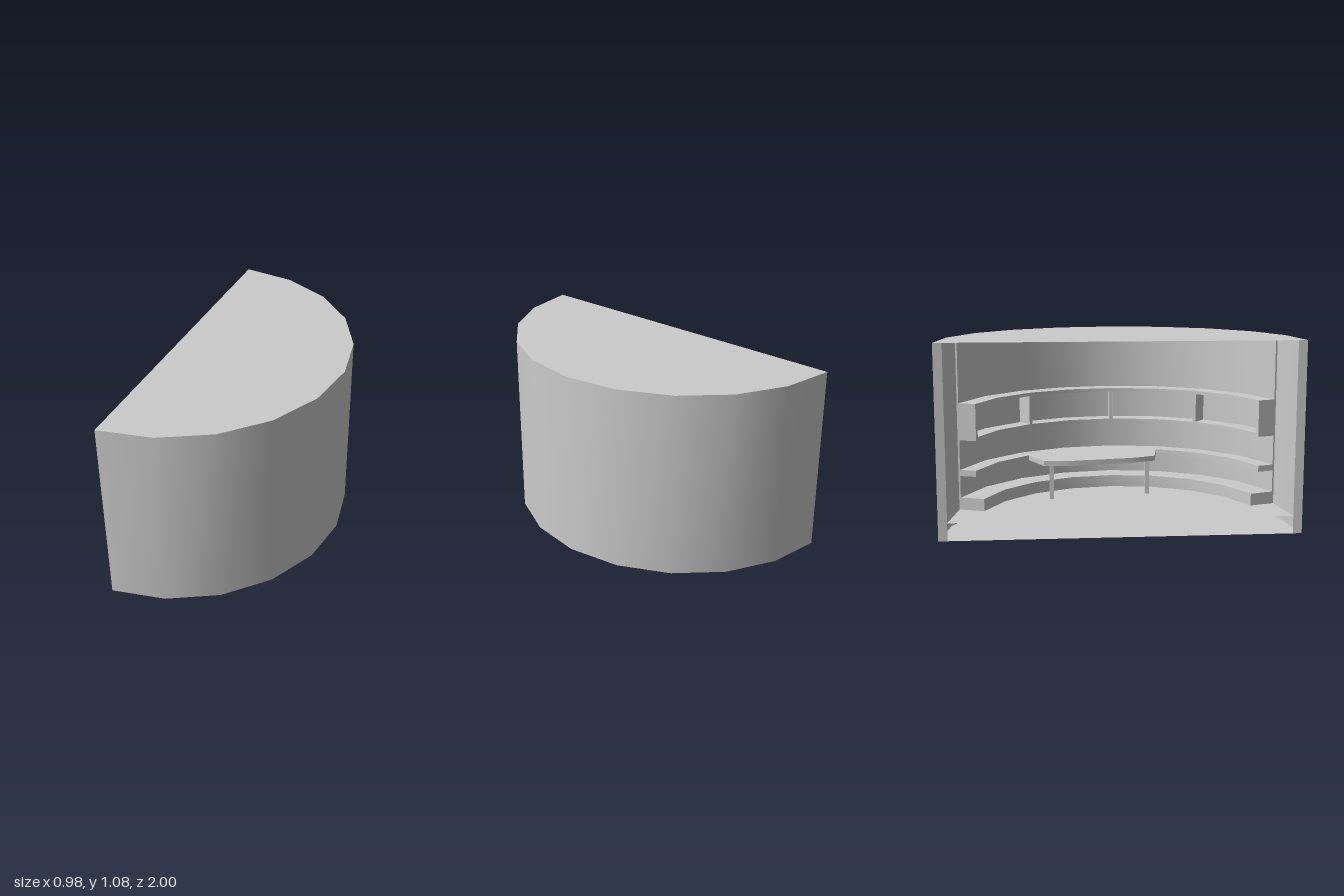
import * as THREE from 'three';
import { toCreasedNormals } from 'three/addons/utils/BufferGeometryUtils.js';

const STEP = 18, CX = -0.487, H = 1.075, FLOOR = 0.1;
const material = new THREE.MeshStandardMaterial({ color: 0xcccccc, side: THREE.DoubleSide });

// Point on the ten-sided half ring: angle in degrees from +x towards +z
function polar(deg, r) {
  const k = Math.floor(deg / STEP), t = deg / STEP - k;
  const corner = (i) => {
    const a = THREE.MathUtils.degToRad(i * STEP);
    return new THREE.Vector2(CX + (r - 0.023) * Math.cos(a), -r * Math.sin(a));
  };
  return corner(k).lerp(corner(k + 1), t);
}

// Row of points along the ring, with a corner at every step
function arc(a0, a1, r) {
  const pts = [polar(a0, r)];
  for (let a = Math.ceil((a0 + 0.01) / STEP) * STEP; a < a1; a += STEP) pts.push(polar(a, r));
  pts.push(polar(a1, r));
  return pts;
}

function createPart(name, geometry) {
  const mesh = new THREE.Mesh(geometry, material);
  mesh.name = name;
  return mesh;
}

// Upright slab from a plan outline
function slab(name, pts, y0, y1) {
  const g = new THREE.ExtrudeGeometry(new THREE.Shape(pts), { depth: y1 - y0, bevelEnabled: false });
  g.rotateX(-Math.PI / 2).translate(0, y0, 0);
  return createPart(name, toCreasedNormals(g, 0.5));
}

function ring(name, a0, a1, r0, r1, y0, y1) {
  return slab(name, [...arc(a0, a1, r1), ...arc(a0, a1, r0).reverse()], y0, y1);
}

// Thin half-round sheet
function sheet(name, r, y) {
  const g = new THREE.ShapeGeometry(new THREE.Shape(arc(-90, 90, r)));
  return createPart(name, g.rotateX(-Math.PI / 2).translate(0, y, 0));
}

// Upright skin along a row of plan points, left to right as seen from its front
function skin(name, pts, y0, y1) {
  const g = new THREE.PlaneGeometry(1, 1, pts.length - 1, 1);
  pts.forEach((p, i) => {
    g.attributes.position.setXYZ(i, p.x, y1, -p.y);
    g.attributes.position.setXYZ(i + pts.length, p.x, y0, -p.y);
  });
  g.computeVertexNormals();
  return createPart(name, g);
}

export function createModel() {
  const model = new THREE.Group();

  // Shell, open on the flat side; the inner wall starts at the raised floor
  model.add(skin('outerWall', arc(-90, 90, 1).reverse(), 0, H));
  model.add(skin('innerWall', arc(-90, 90, 0.95), FLOOR, H));
  model.add(skin('wallEnd', [polar(90, 0.95), polar(90, 1)], 0, H));
  model.add(skin('wallEnd', [polar(-90, 1), polar(-90, 0.95)], 0, H));
  model.add(sheet('roof', 1, H), sheet('base', 1, 0), sheet('floor', 0.95, FLOOR));

  // Lining and ledges following the wall
  model.add(ring('wallLining', -72, 72, 0.94, 0.95, FLOOR, H));
  model.add(ring('lowerLedge', -72, 72, 0.8, 0.95, FLOOR, 0.17));
  model.add(ring('middleShelf', -72, 72, 0.845, 0.95, 0.295, 0.33));

  // Open-fronted wall cabinet
  const cabinet = new THREE.Group();
  cabinet.name = 'wallCabinet';
  cabinet.add(ring('cabinetBottom', -72, 72, 0.84, 0.95, 0.5, 0.52));
  cabinet.add(ring('cabinetTop', -72, 72, 0.84, 0.95, 0.69, 0.71));
  for (const a of [-72, -36.7, -0.7, 35.3, 70.6]) {
    cabinet.add(ring('cabinetDivider', a, a + 1.4, 0.84, 0.95, 0.52, 0.69));
  }
  model.add(cabinet);

  // Bulging counter joined to the middle shelf, with legs under its corners
  const mid = -9;
  const edge = [[31, 0.658], [25, 0.6], [19, 0.565], [9, 0.54], [0, 0.533], [-9, 0.54], [-19, 0.565], [-25, 0.6], [-31, 0.658]];
  const front = edge.map(([a, r]) => polar(mid + a, r));
  model.add(slab('counter', [...arc(mid - 28, mid + 28, 0.85), ...front], 0.3, 0.33));
  for (const a of [-27, 27]) {
    const leg = createPart('counterLeg', new THREE.BoxGeometry(0.025, 0.2, 0.025));
    const p = polar(mid + a, 0.64);
    leg.position.set(p.x, FLOOR + 0.1, -p.y);
    model.add(leg);
  }
  return model;
}
